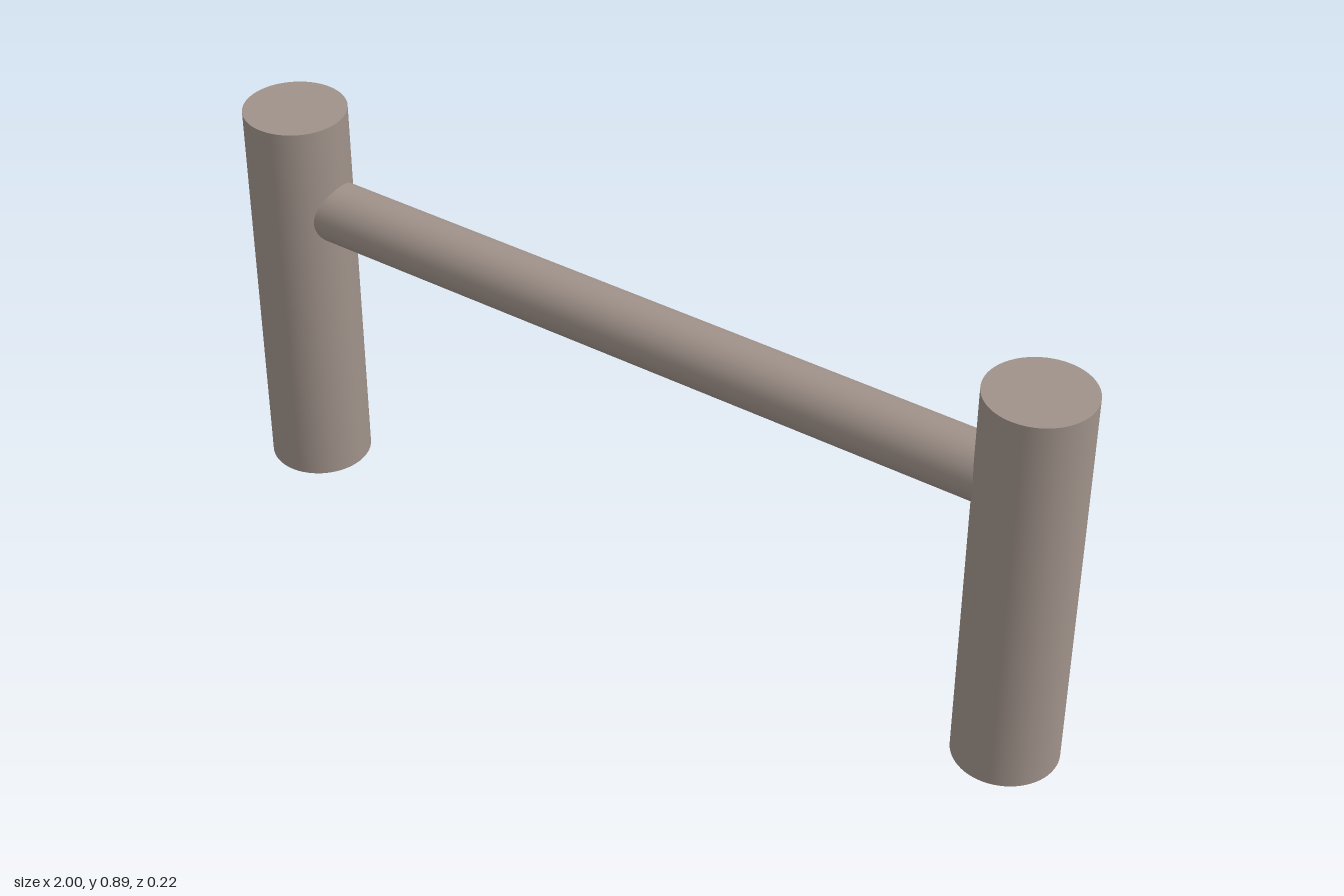
import * as THREE from 'three';

const POST_RADIUS = 0.111;
const POST_HEIGHT = 0.889;
const POST_X = 0.889;
const BAR_RADIUS = 0.067;
const BAR_Y = 0.667;

export function createModel() {
  const model = new THREE.Group();
  model.name = 'postAndRailBarrier';

  const taupe = new THREE.MeshStandardMaterial({ color: 0xa0928a });
  taupe.name = 'taupe';

  // Two upright round posts
  const postGeometry = new THREE.CylinderGeometry(POST_RADIUS, POST_RADIUS, POST_HEIGHT, 64);
  for (const [name, side] of [['leftPost', 1], ['rightPost', -1]]) {
    const post = new THREE.Mesh(postGeometry, taupe);
    post.name = name;
    post.position.set(side * POST_X, POST_HEIGHT / 2, 0);
    model.add(post);
  }

  // Round crossbar, its ends buried in the posts
  const barGeometry = new THREE.CylinderGeometry(BAR_RADIUS, BAR_RADIUS, POST_X * 2, 48);
  barGeometry.rotateZ(Math.PI / 2);
  const bar = new THREE.Mesh(barGeometry, taupe);
  bar.name = 'crossbar';
  bar.position.y = BAR_Y;
  model.add(bar);

  return model;
}
